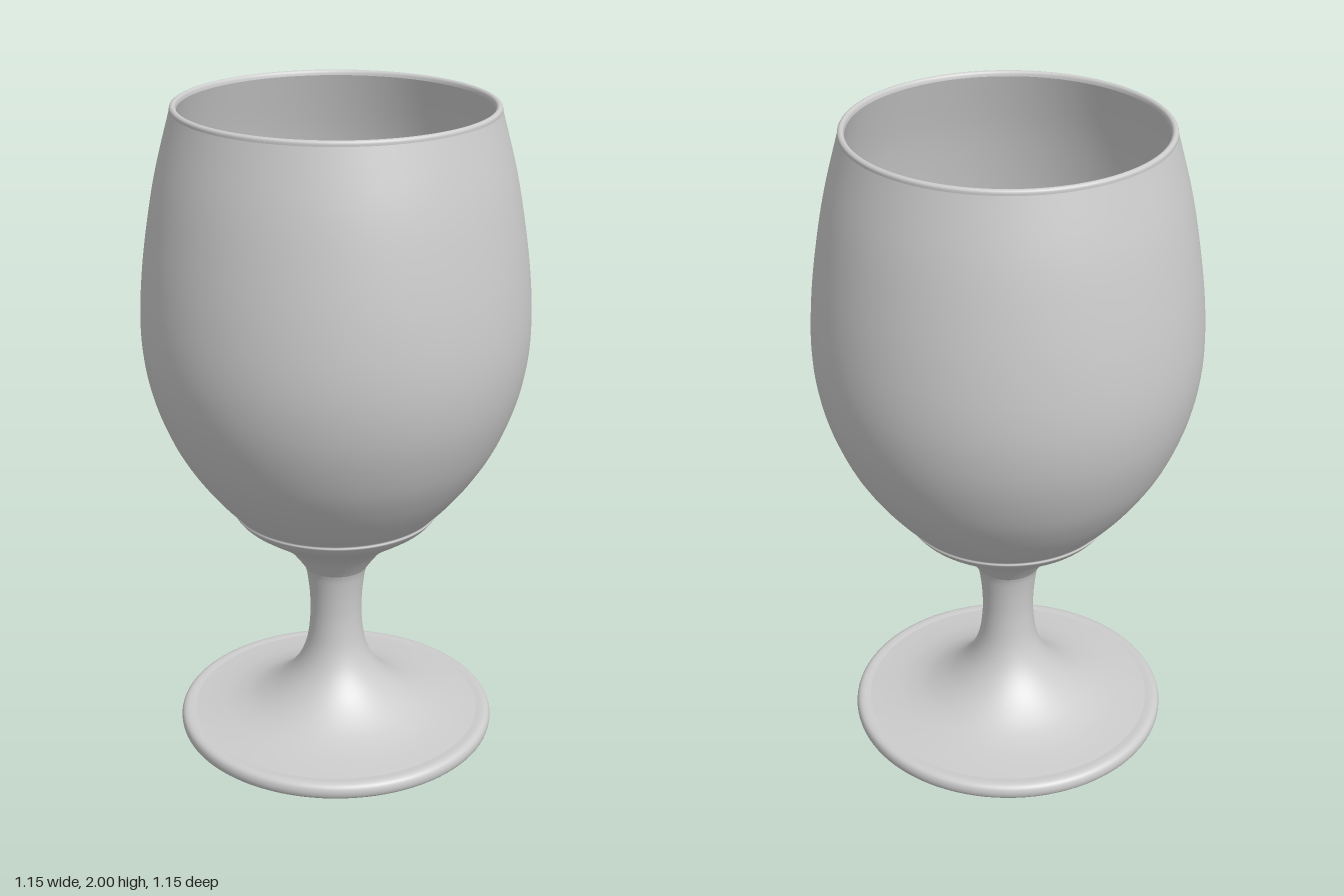
import * as THREE from 'three';

const SEGMENTS = 96;

// Smooth curve through a few [radius, height] points
function smooth(points, steps) {
  const curve = new THREE.SplineCurve(points.map(([r, y]) => new THREE.Vector2(r, y)));
  return curve.getPoints(steps).map((p) => new THREE.Vector2(Math.max(p.x, 0), p.y));
}

export function createModel() {
  const group = new THREE.Group();
  group.name = 'goblet';
  const gray = new THREE.MeshStandardMaterial({ color: 0xcccccc });
  gray.name = 'light gray';

  function turn(name, profile) {
    const mesh = new THREE.Mesh(new THREE.LatheGeometry(profile, SEGMENTS), gray);
    mesh.name = name;
    group.add(mesh);
  }

  // Flat underside of the foot
  turn('footUnderside', [new THREE.Vector2(0, 0), new THREE.Vector2(0.475, 0)]);

  // Rounded edge of the foot
  turn('footEdge', smooth([
    [0.475, 0], [0.49, 0.01], [0.495, 0.028], [0.49, 0.045], [0.475, 0.053], [0.45, 0.052],
  ], 20));

  // Foot flaring up into the stem
  turn('stem', smooth([
    [0.45, 0.052], [0.39, 0.058], [0.32, 0.07], [0.25, 0.095], [0.18, 0.142],
    [0.125, 0.205], [0.093, 0.28], [0.081, 0.37], [0.082, 0.45], [0.09, 0.52], [0.097, 0.548],
  ], 48));

  // Flared collar under the bowl
  turn('collar', smooth([
    [0.097, 0.548], [0.118, 0.578], [0.15, 0.618], [0.195, 0.655], [0.245, 0.688], [0.29, 0.72], [0.31, 0.742],
  ], 24));

  // Small bead where collar and bowl meet
  turn('bead', smooth([[0.31, 0.742], [0.314, 0.748], [0.312, 0.754], [0.316, 0.76]], 8));

  // Outside of the bowl
  turn('bowlOutside', smooth([
    [0.316, 0.76], [0.364, 0.81], [0.43, 0.895], [0.49, 0.995], [0.54, 1.12], [0.567, 1.24],
    [0.575, 1.36], [0.567, 1.5], [0.547, 1.65], [0.517, 1.81], [0.471, 1.985],
  ], 56));

  // Rounded lip
  turn('rim', smooth([[0.471, 1.985], [0.47, 1.995], [0.462, 2], [0.454, 1.996], [0.451, 1.985]], 14));

  // Inside of the bowl, down to its rounded floor
  turn('bowlInside', smooth([
    [0.451, 1.985], [0.497, 1.81], [0.527, 1.65], [0.547, 1.5], [0.555, 1.36], [0.547, 1.24],
    [0.52, 1.125], [0.472, 1.005], [0.413, 0.908], [0.34, 0.825], [0.24, 0.755], [0.12, 0.715], [0, 0.705],
  ], 60));

  return group;
}
